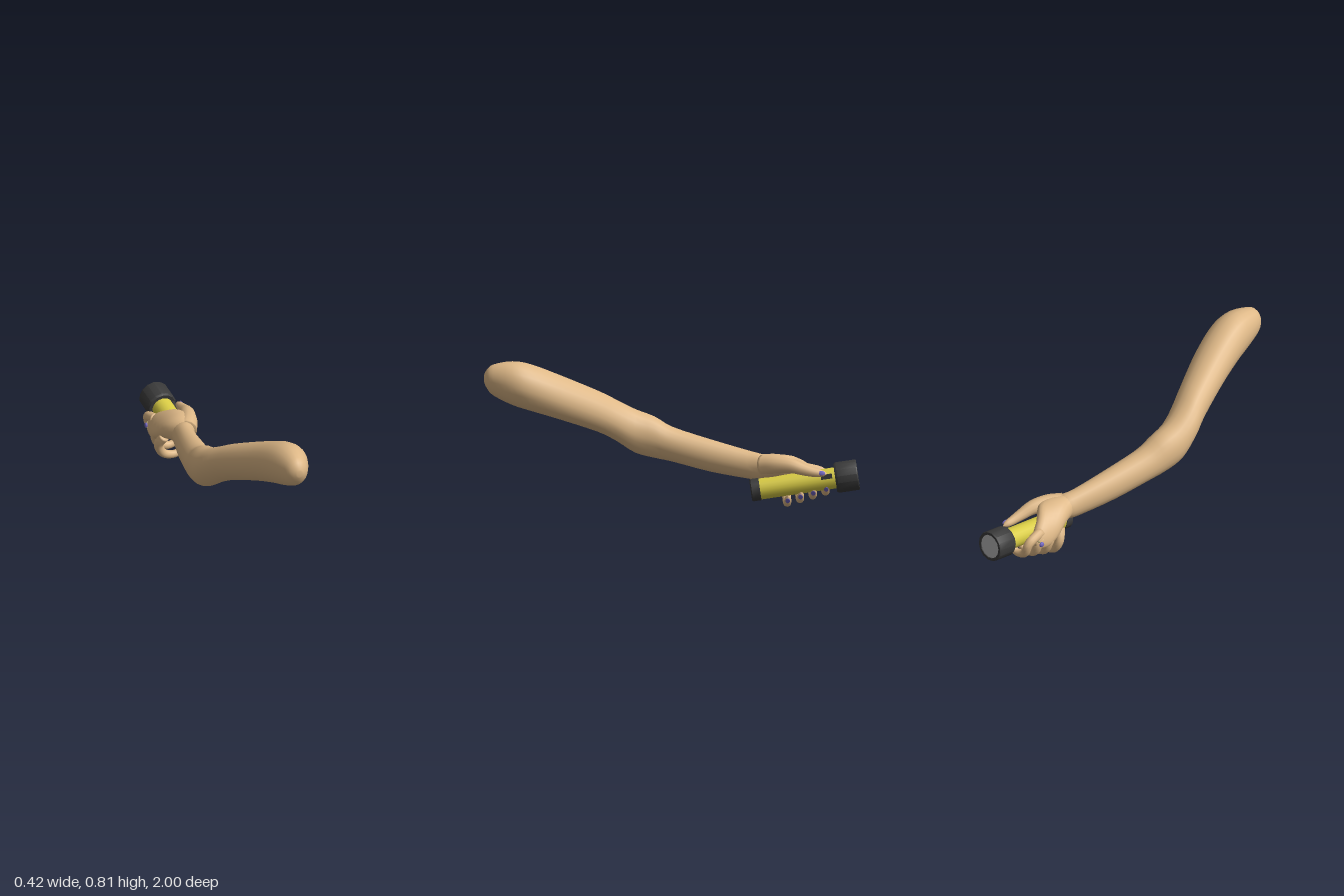
import * as THREE from 'three';
import { toCreasedNormals } from 'three/addons/utils/BufferGeometryUtils.js';

const V = (x, y, z) => new THREE.Vector3(x, y, z);
const material = (name, color) => {
  const m = new THREE.MeshStandardMaterial({ color });
  m.name = name;
  return m;
};

// Closed smooth skin over rings of points, with a pole at each end
function skinOver(rings) {
  const n = rings[0].length, pos = [], idx = [];
  rings.forEach(r => r.forEach(p => pos.push(p.x, p.y, p.z)));
  for (let i = 0; i < rings.length - 1; i++) {
    for (let j = 0; j < n; j++) {
      const a = i * n + j, b = i * n + (j + 1) % n;
      idx.push(a, a + n, b, b, a + n, b + n);
    }
  }
  [rings[0], rings[rings.length - 1]].forEach((r, end) => {
    const mid = r.reduce((s, p) => s.add(p), V(0, 0, 0)).divideScalar(n);
    const pole = pos.length / 3, start = end ? (rings.length - 1) * n : 0;
    pos.push(mid.x, mid.y, mid.z);
    for (let j = 0; j < n; j++) {
      const a = start + j, b = start + (j + 1) % n;
      if (end) idx.push(pole, b, a); else idx.push(pole, a, b);
    }
  });
  const g = new THREE.BufferGeometry();
  g.setAttribute('position', new THREE.Float32BufferAttribute(pos, 3));
  g.setIndex(idx);
  g.computeVertexNormals();
  return g;
}

// Elliptic sections [z, centre x, centre y, radius x, radius y, tilt], running towards -z
function limb(sections, sides = 20, steps = 3) {
  const at = (s, k) => sections[Math.min(Math.max(s, 0), sections.length - 1)][k];
  const rings = [];
  for (let i = 0; i <= (sections.length - 1) * steps; i++) {
    const s = Math.floor(i / steps), t = (i % steps) / steps;
    const [z, cx, cy, rx, ry, tilt] = [0, 1, 2, 3, 4, 5].map(k => {
      const a = at(s - 1, k), b = at(s, k), c = at(s + 1, k), d = at(s + 2, k);
      return b + 0.5 * t * (c - a + t * (2 * a - 5 * b + 4 * c - d + t * (3 * (b - c) + d - a)));
    });
    rings.push(Array.from({ length: sides }, (_, j) => {
      const w = j / sides * Math.PI * 2, x = rx * Math.cos(w), y = ry * Math.sin(w);
      return V(cx + x * Math.cos(tilt) - y * Math.sin(tilt), cy + x * Math.sin(tilt) + y * Math.cos(tilt), z);
    }));
  }
  return skinOver(rings);
}

// Tapered round-tipped digit along a curve
function digit(curve, r0, r1, steps = 24, sides = 12) {
  const frames = curve.computeFrenetFrames(steps);
  const rings = [];
  for (let i = 0; i <= steps; i++) {
    const t = i / steps, k = Math.max(0, (t - 0.88) / 0.12);
    const r = (r0 + (r1 - r0) * t) * Math.sqrt(Math.max(0.01, 1 - k * k));
    const p = curve.getPointAt(t);
    rings.push(Array.from({ length: sides }, (_, j) => {
      const w = j / sides * Math.PI * 2;
      return p.clone().addScaledVector(frames.normals[i], r * Math.cos(w))
        .addScaledVector(frames.binormals[i], -r * Math.sin(w));
    }));
  }
  return skinOver(rings);
}

export function createModel() {
  const root = new THREE.Group();
  const skin = material('skin', 0xdeb887);
  const yellow = material('yellow casing', 0xd9cc45);
  const black = material('black rubber', 0x3a3a3a);
  const glass = material('grey lens', 0xb4b4b4);
  const violet = material('violet nail', 0x7468c4);
  const silver = material('ring metal', 0xa8a070);
  const add = (name, geometry, mat, parent = root) => {
    const m = new THREE.Mesh(geometry, mat);
    m.name = name;
    parent.add(m);
    return m;
  };

  // Arm: [z, min x, max x, min y, max y]
  const arm = [
    [1.0, 0.09, 0.12, 0.70, 0.735], [0.985, 0.062, 0.145, 0.665, 0.765], [0.95, 0.035, 0.17, 0.625, 0.793],
    [0.85, 0.0, 0.205, 0.575, 0.81], [0.75, -0.03, 0.205, 0.54, 0.79], [0.6, -0.078, 0.16, 0.485, 0.722],
    [0.4, -0.15, 0.065, 0.40, 0.62], [0.3, -0.192, 0.02, 0.34, 0.56], [0.2, -0.208, -0.012, 0.27, 0.505],
    [0.1, -0.2, -0.02, 0.243, 0.467], [0, -0.18, -0.015, 0.225, 0.412], [-0.2, -0.135, 0.01, 0.18, 0.355],
    [-0.4, -0.085, 0.035, 0.152, 0.305], [-0.47, -0.07, 0.06, 0.15, 0.29], [-0.5, -0.06, 0.05, 0.17, 0.275],
  ];
  add('arm', limb(arm.map(([z, x0, x1, y0, y1]) =>
    [z, (x0 + x1) / 2, (y0 + y1) / 2, (x1 - x0) / 2, (y1 - y0) / 2, 0])), skin);

  // Back of the hand, draped over the upper right of the torch
  add('hand', limb([
    [-0.43, -0.015, 0.225, 0.05, 0.06, 0], [-0.48, -0.003, 0.222, 0.067, 0.066, 0.1],
    [-0.55, -0.01, 0.222, 0.09, 0.066, 0.4], [-0.62, -0.035, 0.207, 0.1, 0.055, 0.75],
    [-0.68, -0.066, 0.182, 0.082, 0.042, 1.05], [-0.73, -0.078, 0.165, 0.055, 0.032, 1.2],
    [-0.76, -0.083, 0.16, 0.02, 0.012, 1.2],
  ]), skin);

  // Torch, built along its own axis from tail to head
  const tail = V(0.048, 0.103, -0.418), tip = V(0.018, 0.187, -0.988);
  const length = tail.distanceTo(tip), axis = tip.clone().sub(tail).normalize();
  const torch = new THREE.Group();
  torch.name = 'torch';
  torch.position.copy(tail);
  torch.quaternion.setFromUnitVectors(V(0, 1, 0), axis);
  root.add(torch);
  const turned = pts => toCreasedNormals(
    new THREE.LatheGeometry(pts.map(p => new THREE.Vector2(...p)), 14), 0.6);
  add('torchBody', new THREE.CylinderGeometry(0.057, 0.057, length - 0.14, 20), yellow, torch)
    .position.y = length / 2 - 0.035;
  add('tailCap', turned([[0, 0], [0.055, 0], [0.061, 0.006], [0.061, 0.05], [0, 0.05]]), black, torch);
  const h = length - 0.122;
  add('torchHead', turned([[0, h], [0.076, h], [0.083, h + 0.012], [0.083, length - 0.006],
    [0.08, length], [0.066, length], [0.066, length - 0.008]]), black, torch);
  const lens = add('lens', new THREE.CircleGeometry(0.067, 14), glass, torch);
  lens.rotation.x = -Math.PI / 2;
  lens.position.y = length - 0.006;
  add('switch', new THREE.BoxGeometry(0.016, 0.06, 0.024), black, torch).position.set(0.054, 0.41, 0.022);

  // Thin oval nail lying on a digit
  function nail(name, position, outward, along, size = 1) {
    const m = add(name, new THREE.SphereGeometry(1, 12, 8), violet);
    const side = along.clone().cross(outward).normalize();
    const up = side.clone().cross(along).normalize();
    m.quaternion.setFromRotationMatrix(new THREE.Matrix4().makeBasis(side.negate(), up, along.clone().normalize()));
    m.scale.set(0.013 * size, 0.0045, 0.02 * size);
    m.position.copy(position);
  }

  // Thumb along the left of the torch
  const thumb = new THREE.CatmullRomCurve3([V(0.015, 0.232, -0.48), V(0.052, 0.245, -0.55),
    V(0.076, 0.245, -0.63), V(0.087, 0.226, -0.7), V(0.092, 0.212, -0.76), V(0.092, 0.205, -0.825)]);
  add('thumb', digit(thumb, 0.058, 0.017), skin);
  nail('thumbNail', V(0.109, 0.213, -0.797), V(1, 0.3, 0), V(0, -0.08, -1));

  // Four fingers curling under the torch, little finger first
  for (let i = 0; i < 4; i++) {
    const z = -0.605 - 0.068 * i, d = 0.02 * i, s = -0.006 * i;
    const path = new THREE.CatmullRomCurve3([
      V(-0.075, 0.165 + d * 0.6, -0.57 - 0.045 * i), V(-0.099 - s * 0.8, 0.11 + d, z + 0.01),
      V(-0.07 + d * 0.1, 0.046 + d, z), V(-0.008, 0.025 + d, z - 0.005),
      V(0.045 + s, 0.043 + d, z - 0.01), V(0.08 + s, 0.082 + d, z - 0.012),
    ]);
    add('finger' + (i + 1), digit(path, 0.028, 0.018), skin);

    const along = path.getTangentAt(0.93), p = path.getPointAt(0.93);
    const out = along.clone().cross(V(0, 0, 1)).normalize();
    nail('fingerNail' + (i + 1), p.addScaledVector(out, 0.017), out, along);

    // Jewelled ring on the third finger from the bottom
    if (i === 2) {
      const q = path.getPointAt(0.25), t = path.getTangentAt(0.25);
      const band = add('ringBand', new THREE.TorusGeometry(0.027, 0.004, 6, 20), silver);
      band.position.copy(q);
      band.lookAt(q.clone().add(t));
      const gem = add('ringGem', new THREE.SphereGeometry(0.015, 10, 8), violet);
      gem.scale.x = 0.6;
      gem.position.copy(q).add(V(-0.027, 0, -0.008));
    }
  }
  return root;
}
